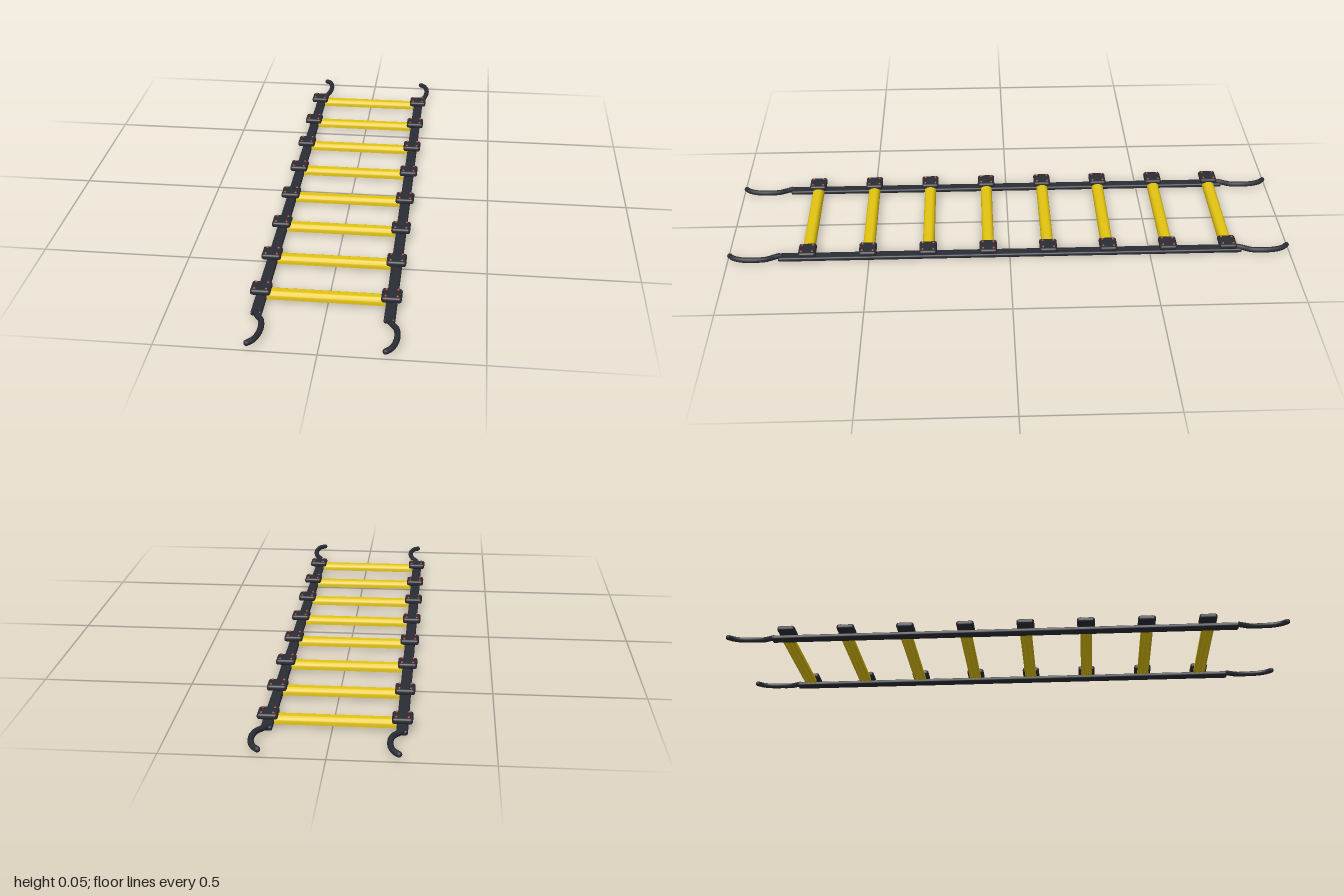
import * as THREE from 'three';
import { toCreasedNormals } from 'three/addons/utils/BufferGeometryUtils.js';
import { RoundedBoxGeometry } from 'three/addons/geometries/RoundedBoxGeometry.js';

const RUNGS = 8;
const FIRST_Z = -0.776;
const STEP = 0.2131;
const SIDES = [{ name: 'right', x: -0.215 }, { name: 'left', x: 0.201 }];

function material(name, color) {
  const m = new THREE.MeshStandardMaterial({ color });
  m.name = name;
  return m;
}

// Domed slat with a shallow ribbed underside, running along x
function rungGeometry(length) {
  const s = new THREE.Shape();
  s.moveTo(-0.021, 0.009);
  s.lineTo(-0.012, 0.009);
  s.lineTo(-0.010, 0.013);
  s.lineTo(-0.006, 0.013);
  s.lineTo(-0.004, 0.009);
  s.lineTo(0.004, 0.009);
  s.lineTo(0.006, 0.013);
  s.lineTo(0.010, 0.013);
  s.lineTo(0.012, 0.009);
  s.lineTo(0.021, 0.009);
  s.lineTo(0.021, 0.017);
  s.bezierCurveTo(0.021, 0.029, 0.013, 0.036, 0, 0.036);
  s.bezierCurveTo(-0.013, 0.036, -0.021, 0.029, -0.021, 0.017);
  s.closePath();
  const g = new THREE.ExtrudeGeometry(s, { depth: length, bevelEnabled: false, curveSegments: 8 });
  g.translate(0, 0, -length / 2);
  g.rotateY(Math.PI / 2);
  return toCreasedNormals(g, 0.5);
}

// Curved end loop, bulging towards +x and rising slightly in the middle
function loopGeometry(end) {
  const curve = new THREE.CatmullRomCurve3([
    [-0.004, 0.014, 0.815], [0.008, 0.015, 0.838], [0.023, 0.018, 0.863],
    [0.031, 0.022, 0.905], [0.028, 0.022, 0.945], [0.017, 0.022, 0.975], [0.002, 0.021, 0.990],
  ].map(([x, y, z]) => new THREE.Vector3(x, y, z * end)));
  return new THREE.TubeGeometry(curve, 32, 0.0095, 10, false);
}

export function createModel() {
  const model = new THREE.Group();
  model.name = 'agilityLadder';
  const webbing = material('charcoalWebbing', 0x2b2d35);
  const yellow = material('yellowPlastic', 0xe3c410);
  const red = material('redRivet', 0xc8442c);

  const add = (parent, name, geometry, mat, x, y, z) => {
    const mesh = new THREE.Mesh(geometry, mat);
    mesh.name = name;
    mesh.position.set(x, y, z);
    parent.add(mesh);
    return mesh;
  };

  const strap = new RoundedBoxGeometry(0.036, 0.016, 1.65, 3, 0.006);
  const pad = new RoundedBoxGeometry(0.065, 0.020, 0.062, 3, 0.008);
  const rung = rungGeometry(0.376);
  const rivet = new THREE.SphereGeometry(0.004, 10, 8);
  const tip = new THREE.SphereGeometry(0.0095, 10, 8);

  // Side straps with a loop at each end
  for (const side of SIDES) {
    const g = new THREE.Group();
    g.name = side.name + 'Side';
    model.add(g);
    add(g, 'strap', strap, webbing, side.x, 0.008, -0.004);
    for (const end of [-1, 1]) {
      add(g, end > 0 ? 'frontLoop' : 'backLoop', loopGeometry(end), webbing, side.x, 0, 0);
      add(g, 'loopTip', tip, webbing, side.x + 0.002, 0.021, 0.990 * end);
    }
  }

  // Rungs, each held by a riveted pad at both ends
  for (let i = 0; i < RUNGS; i++) {
    const z = FIRST_Z + i * STEP;
    const g = new THREE.Group();
    g.name = 'rungUnit' + (i + 1);
    model.add(g);
    add(g, 'rung', rung, yellow, -0.007, 0, z);
    for (const side of SIDES) {
      add(g, side.name + 'Pad', pad, webbing, side.x, 0.036, z);
      for (const dx of [-0.019, 0.019]) {
        for (const dz of [-0.019, 0.019]) {
          add(g, 'rivet', rivet, red, side.x + dx, 0.0465, z + dz);
        }
      }
    }
  }
  return model;
}
